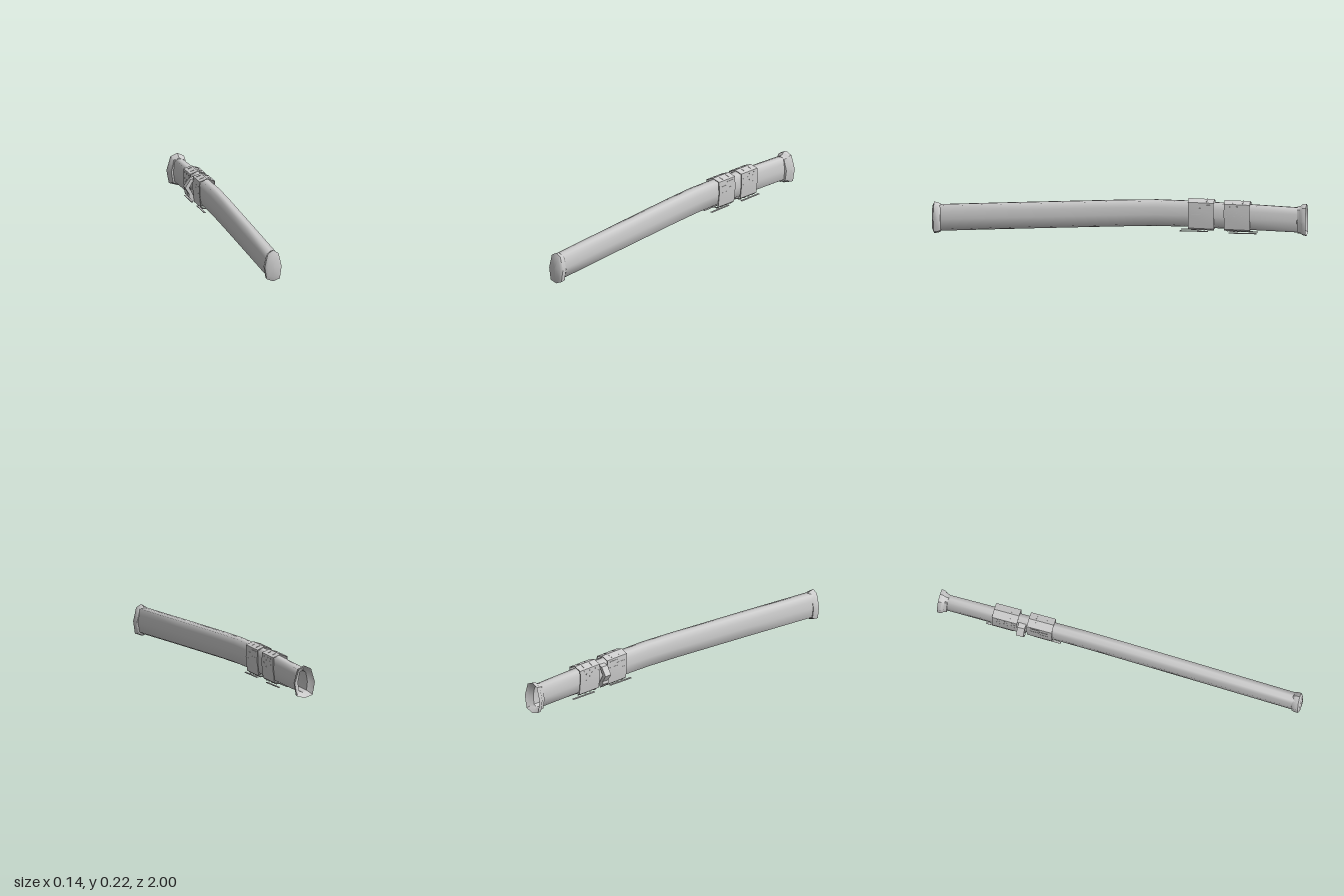
import * as THREE from 'three';
import { toCreasedNormals } from 'three/addons/utils/BufferGeometryUtils.js';

const material = new THREE.MeshStandardMaterial({ color: 0xcccccc, side: THREE.DoubleSide });

// Half sections as [x, y] from the top point to the bottom point
const BODY = [[0, 1], [0.68, 0.96], [0.85, 0.5], [1, -0.05], [0.78, -0.8], [0, -1]];
const FITTING = [[0, 1], [0.62, 0.8], [1, -0.05], [0.78, -0.84], [0, -1]];
const BAND = [[0, 1], [0.98, 0.83], [1.02, 0.05], [0.82, -0.8], [0.5, -0.92]];

// Mirrors a half section; the loop runs top, -x side, bottom, +x side
function fullSection(half, open) {
  const left = half.map(([x, y]) => [-x, y]);
  const right = half.slice(1).reverse();
  return open ? [...right, ...left] : [...left, ...right.slice(1)];
}

// Skins rings [z, centreX, centreY, halfWidth, halfHeight], ordered from +z to -z
function loft(half, rings, { open = false, crease = 0 } = {}) {
  const section = fullSection(half, open);
  const n = section.length;
  const positions = [], index = [];
  for (const [z, cx, cy, w, h] of rings)
    for (const [x, y] of section) positions.push(cx + x * w, cy + y * h, z);
  for (let i = 0; i < rings.length - 1; i++) {
    for (let j = 0; j < (open ? n - 1 : n); j++) {
      const k = (j + 1) % n;
      const a = i * n + j, b = i * n + k, c = a + n, d = b + n;
      index.push(a, c, b, b, c, d);
    }
  }
  const geometry = new THREE.BufferGeometry();
  geometry.setAttribute('position', new THREE.Float32BufferAttribute(positions, 3));
  geometry.setIndex(index);
  geometry.computeVertexNormals();
  return crease ? toCreasedNormals(geometry, crease) : geometry;
}

export function createModel() {
  const group = new THREE.Group();
  const add = (name, geometry, parent = group) => {
    const mesh = new THREE.Mesh(geometry, material);
    mesh.name = name;
    parent.add(mesh);
    return mesh;
  };
  const box = (parent, name, size, position, tilt = 0) => {
    const mesh = add(name, new THREE.BoxGeometry(...size), parent);
    mesh.position.set(...position);
    mesh.rotation.z = tilt;
  };

  // Long, gently bent sheath
  add('sheath', loft(BODY, [
    [0.97, 0.008, 0.085, 0.037, 0.071],
    [0.5, 0.008, 0.109, 0.037, 0.071],
    [0, 0.008, 0.133, 0.037, 0.071],
    [-0.2, 0.008, 0.14, 0.037, 0.071],
    [-0.35, 0.008, 0.139, 0.036, 0.07],
    [-0.65, 0.008, 0.13, 0.034, 0.069],
    [-0.97, 0.009, 0.119, 0.032, 0.067],
  ]));

  // Domed cap on the tip
  add('tipCap', loft(FITTING, [
    [1, 0.01, 0.088, 0.0005, 0.0005],
    [0.997, 0.01, 0.088, 0.033, 0.062],
    [0.988, 0.01, 0.087, 0.046, 0.085],
    [0.965, 0.01, 0.086, 0.047, 0.081],
    [0.952, 0.009, 0.086, 0.042, 0.074],
    [0.95, 0.009, 0.086, 0.033, 0.066],
  ], { crease: 0.9 }));

  // Flared mouth with a hollow throat
  add('mouthCollar', loft(FITTING, [
    [-0.95, 0.009, 0.12, 0.032, 0.065],
    [-0.952, 0.009, 0.12, 0.042, 0.073],
    [-0.968, 0.01, 0.121, 0.046, 0.075],
    [-0.98, 0.01, 0.122, 0.057, 0.085],
    [-1, 0.011, 0.122, 0.059, 0.087],
    [-0.985, 0.01, 0.121, 0.046, 0.074],
    [-0.97, 0.009, 0.12, 0.028, 0.06],
    [-0.8, 0.009, 0.124, 0.026, 0.058],
    [-0.799, 0.009, 0.124, 0.0005, 0.0005],
  ], { crease: 0.7 }));

  // Two laced wraps, open underneath
  const bands = [
    { name: 'frontWrap', z0: -0.37, z1: -0.508, cy: 0.138, h: 0.086 },
    { name: 'rearWrap', z0: -0.562, z1: -0.7, cy: 0.134, h: 0.084 },
  ];
  bands.forEach(({ name, z0, z1, cy, h }, b) => {
    const wrap = new THREE.Group();
    wrap.name = name;
    group.add(wrap);
    const cx = 0.009, w = 0.043, mid = (z0 + z1) / 2;
    add(name + 'Shell', loft(BAND, [
      [z0, cx, cy, w - 0.004, h - 0.003],
      [z0, cx, cy, w, h],
      [z1, cx, cy - 0.003, w, h],
      [z1, cx, cy - 0.003, w - 0.004, h - 0.003],
    ], { open: true, crease: 0.5 }), wrap);

    for (const side of [-1, 1]) {
      // Stitches on the sides: long on the front wrap, dots on the rear one
      for (let i = 0; i < 4; i++) {
        const y = cy + h * (0.66 - i * 0.2);
        if (b === 0) {
          box(wrap, 'stitch', [0.003, 0.003, 0.05], [cx + side * w, y, mid + (i % 2 ? 0.025 : -0.025)]);
        } else {
          for (let k = 0; k < 3; k++)
            box(wrap, 'stud', [0.003, 0.005, 0.006], [cx + side * w, y, mid + (k - 1) * 0.04 + (i % 2) * 0.015]);
        }
      }
      // Stitches on the ridge
      for (const dz of [-0.03, 0.025])
        box(wrap, 'ridgeStitch', [0.022, 0.002, 0.005], [cx + side * 0.021, cy + h * 0.91, mid + dz], -side * 0.33);
    }
    // Laces closing the underside
    for (let i = 0; i < 4; i++)
      box(wrap, 'lace', [0.05, 0.003, 0.008], [cx, cy - h * 0.94, mid + (i - 1.5) * 0.034]);
    // Loose strap end beneath the wrap
    const end = b === 0 ? z0 + 0.045 : z1 - 0.035;
    for (const side of [-1, 1])
      box(wrap, 'strapEnd', [0.01, 0.004, 0.15], [cx + side * 0.025, b === 0 ? 0.051 : 0.045, end + (b === 0 ? -0.075 : 0.075)]);
  });

  // Hanging loop between the wraps, on the right side
  const outline = [
    [0, 0.196], [-0.043, 0.187], [-0.073, 0.142], [-0.05, 0.105], [-0.053, 0.09], [-0.03, 0.065],
    [-0.018, 0.08], [-0.034, 0.112], [-0.05, 0.142], [-0.034, 0.17], [0, 0.175],
  ];
  const loop = add('hangingLoop', new THREE.ExtrudeGeometry(
    new THREE.Shape(outline.map(([x, y]) => new THREE.Vector2(x, y))),
    { depth: 0.04, bevelEnabled: false },
  ));
  loop.position.z = -0.556;

  return group;
}
